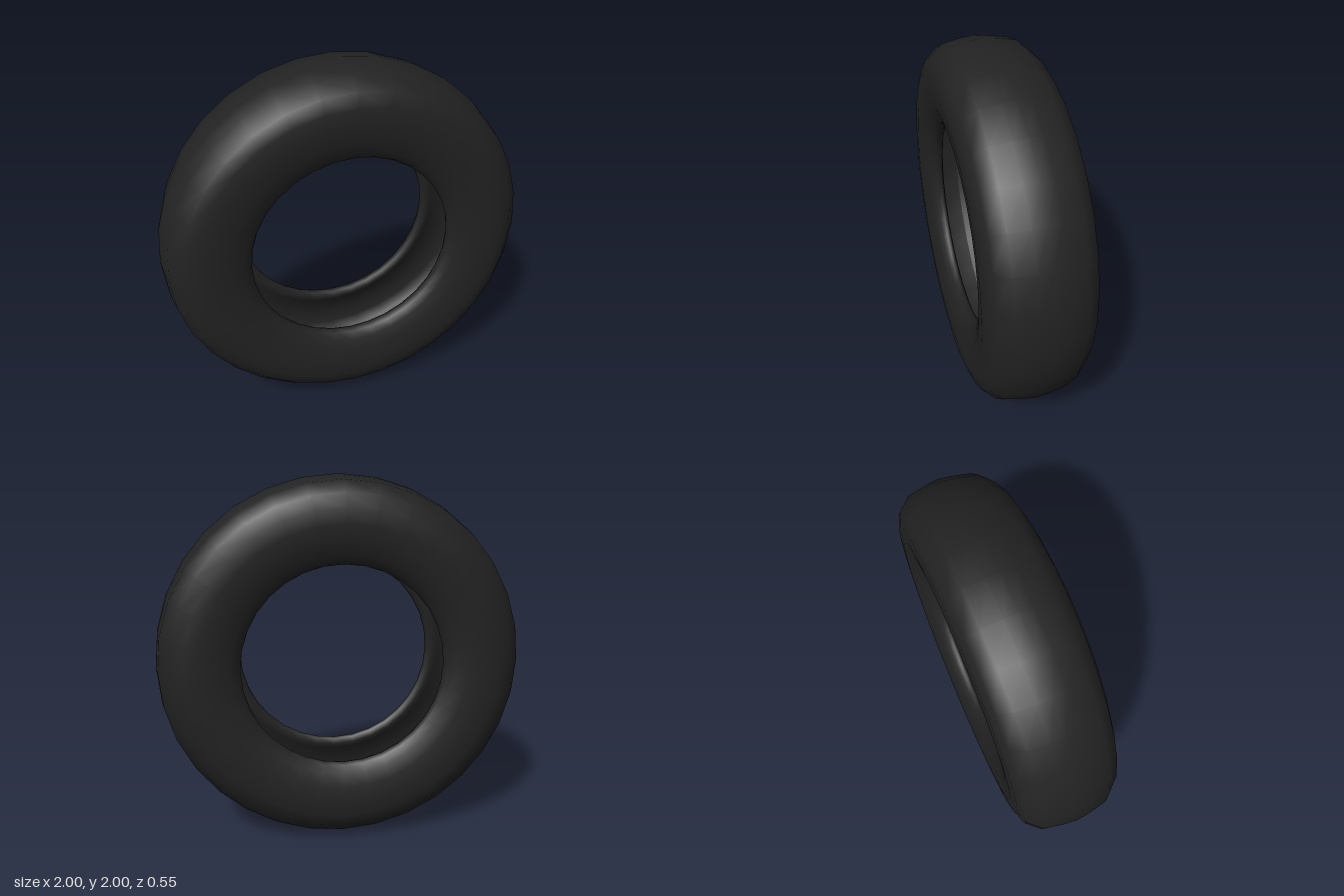
import * as THREE from 'three';

export function createModel() {
  const rubber = new THREE.MeshStandardMaterial({ color: 0x222222 });
  rubber.name = 'black rubber';

  // Half cross-section as [radius, axial offset], from tread centre round the bead to the hollow liner
  const half = [
    [1.0, 0], [0.992, 0.07], [0.972, 0.175], [0.91, 0.245], [0.84, 0.27], [0.76, 0.275],
    [0.67, 0.265], [0.6, 0.242], [0.56, 0.215], [0.548, 0.19],
    [0.555, 0.17], [0.585, 0.16], [0.615, 0.175],
    [0.68, 0.215], [0.76, 0.235], [0.84, 0.23], [0.9, 0.2], [0.94, 0.14], [0.955, 0],
  ];

  // Mirror the half into a closed loop that starts and ends on the liner centre
  const mirrored = half.slice(1).reverse().map(([r, a]) => new THREE.Vector2(r, -a));
  const profile = [...mirrored, ...half.map(([r, a]) => new THREE.Vector2(r, a))];

  // Hollow tyre, spun about the z axis
  const geometry = new THREE.LatheGeometry(profile, 32);
  geometry.rotateX(Math.PI / 2);
  const tyre = new THREE.Mesh(geometry, rubber);
  tyre.name = 'tyre';
  tyre.position.y = 1;

  const group = new THREE.Group();
  group.name = 'hollowTyre';
  group.add(tyre);
  return group;
}
